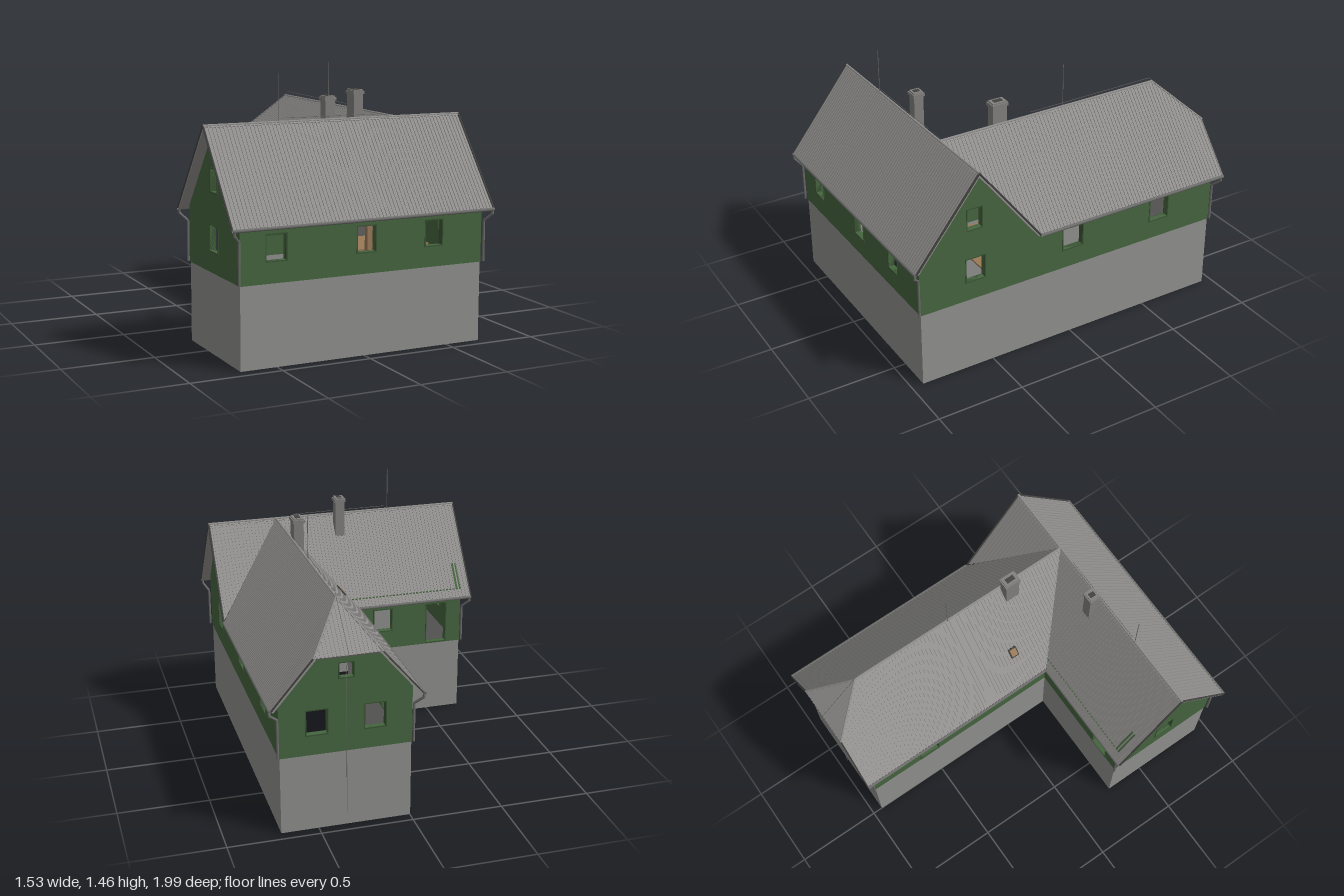
import * as THREE from 'three';
import { mergeGeometries } from 'three/addons/utils/BufferGeometryUtils.js';

const mat = (name, color) => {
  const m = new THREE.MeshStandardMaterial({ color, side: THREE.DoubleSide });
  m.name = name;
  return m;
};
const V = (x, y, z) => new THREE.Vector3(x, y, z);

export function createModel() {
  const house = new THREE.Group();
  house.name = 'house';
  const green = mat('greenBoards', 0x46653f);
  const frameGreen = mat('darkGreenFrames', 0x3a5534);
  const stone = mat('greyFoundation', 0x90908e);
  const roofGrey = mat('greyRoof', 0x92918f);
  const chimneyGrey = mat('chimneyGrey', 0x82817f);
  const metal = mat('gutterMetal', 0x6e6e6d);
  const dark = mat('darkTrim', 0x444442);
  const wood = mat('tanWood', 0x9a7a58);

  const add = (name, geometry, material, parent = house) => {
    const m = new THREE.Mesh(geometry, material);
    m.name = name;
    parent.add(m);
    return m;
  };
  const box = (name, w, h, d, x, y, z, material) => {
    const m = add(name, new THREE.BoxGeometry(w, h, d), material);
    m.position.set(x, y, z);
    return m;
  };
  // round rod through points
  const rod = (name, pts, r, material, sides = 6) => {
    const path = new THREE.CurvePath();
    for (let i = 1; i < pts.length; i++) path.add(new THREE.LineCurve3(pts[i - 1], pts[i]));
    return add(name, mergeGeometries(path.curves.map(c => new THREE.TubeGeometry(c, 1, r, sides))), material);
  };

  // ---- foundation: hollow L-shaped plinth, open above and below
  const outline = [[-0.7, 0.93], [0.7, 0.93], [0.7, -0.94], [0, -0.94], [0, 0.27], [-0.7, 0.27]];
  outline.forEach(([x, z], i) => {
    const [x2, z2] = outline[(i + 1) % 6];
    box('foundationWall', Math.abs(x2 - x) + 0.004, 0.44, Math.abs(z2 - z) + 0.004,
      (x + x2) / 2, 0.22, (z + z2) / 2, stone);
  });

  // ---- walls: outline in (along, up), openings as [from, to, bottom, top]
  const T = 0.03;
  const rect = (Kind, [a, b, c, d], g = 0) => {
    const p = new Kind();
    p.moveTo(a - g, c - g); p.lineTo(b + g, c - g); p.lineTo(b + g, d + g); p.lineTo(a - g, d + g);
    p.closePath();
    return p;
  };
  const wall = (name, pts, openings, alongZ, at) => {
    const g = new THREE.Group();
    g.name = name;
    const s = new THREE.Shape(pts.map(p => new THREE.Vector2(...p)));
    openings.forEach(o => s.holes.push(rect(THREE.Path, o)));
    add(name + 'Boards', new THREE.ExtrudeGeometry(s, { depth: T, bevelEnabled: false }), green, g);
    openings.forEach(o => {
      const f = rect(THREE.Shape, o, 0.006);
      f.holes.push(rect(THREE.Path, o));
      add('openingFrame', new THREE.ExtrudeGeometry(f, { depth: T + 0.006, bevelEnabled: false }), frameGreen, g)
        .position.z = -0.003;
    });
    if (alongZ) { g.rotation.y = -Math.PI / 2; g.position.x = at; } else g.position.z = at;
    house.add(g);
  };
  const B = 0.435, E = 0.775, W = [0.55, 0.685];
  const flat = (a, b) => [[a, B], [b, B], [b, E], [a, E]];
  const gableWindows = [[0.55, 0.66, ...W], [0.565, 0.65, 0.86, 0.98]];
  wall('frontWall', flat(-0.705, 0.705),
    [[-0.56, -0.45, ...W], [-0.045, 0.06, ...W], [0.36, 0.46, ...W]], false, 0.935 - T);
  wall('rightWall', [[-0.945, B], [0.935, B], [0.935, E], [0.605, 1.19], [0.27, E], [-0.945, E]],
    [...gableWindows, [-0.065, 0.06, ...W], [-0.64, -0.52, ...W]], true, 0.705);
  wall('leftGable', [[0.265, B], [0.935, B], [0.935, E], [0.605, 1.19], [0.265, E]],
    gableWindows, true, -0.705 + T);
  wall('courtWallShort', flat(-0.705, 0), [[-0.27, -0.16, ...W], [-0.61, -0.49, 0.445, 0.69]], false, 0.265);
  wall('courtWallLong', flat(-0.945, 0.27),
    [[-0.81, -0.71, ...W], [-0.62, -0.5, 0.445, 0.69], [-0.06, 0.05, ...W]], true, -0.005 + T);
  wall('rearGable', [[-0.005, B], [0.705, B], [0.705, E], [0.493, 1.02], [0.207, 1.02], [-0.005, E]],
    [[0.45, 0.56, ...W], [0.14, 0.25, ...W], [0.31, 0.385, 0.85, 0.93]], false, -0.945);

  // ---- roof: thin convex slabs with seams running up the slope
  const slab = (pts, thick, lift = 0) => {
    const n = new THREE.Vector3().crossVectors(
      pts[1].clone().sub(pts[0]), pts[2].clone().sub(pts[0])).normalize();
    if (n.y < 0) { pts = [...pts].reverse(); n.negate(); }
    const top = pts.map(p => p.clone().addScaledVector(n, lift));
    const low = pts.map(p => p.clone().addScaledVector(n, lift - thick));
    const out = [];
    const tri = (...t) => t.forEach(p => out.push(p.x, p.y, p.z));
    pts.forEach((_, i) => {
      const j = (i + 1) % pts.length;
      if (i > 0 && j > 0) { tri(top[0], top[i], top[j]); tri(low[0], low[j], low[i]); }
      tri(low[i], low[j], top[j]); tri(low[i], top[j], top[i]);
    });
    const g = new THREE.BufferGeometry();
    g.setAttribute('position', new THREE.Float32BufferAttribute(out, 3));
    g.computeVertexNormals();
    return g;
  };
  const roofPanel = (name, pts, axis, step) => {
    const parts = [slab(pts, 0.014)];
    const range = pts.map(p => p[axis]);
    const side = V(0, 0, 0);
    side[axis] = 0.004;
    for (let t = Math.min(...range) + 0.006; t < Math.max(...range); t += step) {
      const hits = [];
      pts.forEach((p, i) => {
        const q = pts[(i + 1) % pts.length];
        if ((p[axis] - t) * (q[axis] - t) < 0)
          hits.push(p.clone().lerp(q, (t - p[axis]) / (q[axis] - p[axis])));
      });
      if (hits.length === 2 && hits[0].distanceTo(hits[1]) > 0.02) {
        const [a, b] = hits;
        parts.push(slab([a.clone().sub(side), a.clone().add(side),
          b.clone().add(side), b.clone().sub(side)], 0.004, 0.004));
      }
    }
    add(name, mergeGeometries(parts), roofGrey);
  };
  const R = 1.205, L = 0.73, H = 0.99;
  const cross = V(0.35, R, 0.605), hipTop = V(0.35, R + 0.008, -0.76);
  roofPanel('frontRoofSlope', [V(-0.76, L, 0.975), V(0.755, L, 0.975), V(0.755, R, 0.605), V(-0.76, R, 0.605)], 'x', 0.021);
  roofPanel('courtRoofSlope', [V(-0.76, R, 0.605), cross, V(-0.05, L, 0.235), V(-0.76, L, 0.235)], 'x', 0.021);
  roofPanel('cornerRoofSlope', [cross, V(0.755, R, 0.605), V(0.755, L, 0.235)], 'x', 0.021);
  roofPanel('wingLeftSlope', [V(-0.05, L, 0.235), cross, hipTop, V(0.17, H, -0.995), V(-0.05, L, -0.995)], 'z', 0.021);
  roofPanel('wingRightSlope', [V(0.75, L, 0.235), cross, hipTop, V(0.53, H, -0.995), V(0.75, L, -0.995)], 'z', 0.021);
  roofPanel('rearHalfHip', [V(0.17, H, -0.995), V(0.53, H, -0.995), hipTop], 'x', 0.021);

  // ridge caps and gable edge boards
  rod('frontRidgeCap', [V(-0.762, R, 0.605), V(0.757, R, 0.605)], 0.007, roofGrey);
  rod('wingRidgeCap', [cross, hipTop], 0.007, roofGrey);
  for (const x of [0.17, 0.53]) rod('hipCap', [hipTop, V(x, H, -0.995)], 0.006, roofGrey);
  for (const x of [-0.76, 0.755])
    rod('gableEdge', [V(x, L, 0.975), V(x, R, 0.605), V(x, L, 0.235)], 0.006, dark);
  for (const [a, b] of [[-0.05, 0.17], [0.75, 0.53]])
    rod('rearGableEdge', [V(a, L, -0.992), V(b, H, -0.992)], 0.005, dark);

  // ---- gutters and downpipes
  const gutter = (a, b) => rod('gutter', [a, b], 0.009, metal, 8);
  gutter(V(-0.76, 0.724, 0.98), V(0.755, 0.724, 0.98));
  gutter(V(-0.76, 0.724, 0.23), V(-0.055, 0.724, 0.23));
  gutter(V(-0.056, 0.724, 0.23), V(-0.056, 0.724, -0.99));
  gutter(V(0.756, 0.724, 0.23), V(0.756, 0.724, -0.99));
  const downpipe = (x0, z0, x1, z1) => rod('downpipe',
    [V(x0, 0.724, z0), V(x0, 0.7, z0), V(x1, 0.66, z1), V(x1, 0.44, z1)], 0.007, metal);
  downpipe(-0.75, 0.98, -0.712, 0.945);
  downpipe(0.745, 0.98, 0.715, 0.945);
  downpipe(-0.75, 0.23, -0.712, 0.258);
  downpipe(-0.056, -0.975, -0.012, -0.95);
  downpipe(0.756, -0.975, 0.712, -0.95);

  // ---- chimneys
  for (const [x, z, w, d] of [[-0.02, 0.542, 0.056, 0.056], [0.31, 0.232, 0.056, 0.086]]) {
    box('chimneyStack', w, 0.32, d, x, 1.15, z, chimneyGrey);
    box('chimneyCap', w + 0.012, 0.018, d + 0.012, x, 1.309, z, chimneyGrey);
    box('chimneyRim', w, 0.01, d, x, 1.321, z, chimneyGrey);
    box('chimneyFlue', w * 0.5, 0.004, d * 0.6, x, 1.327, z, dark);
  }

  // ---- skylight lying on the wing slope
  const tilt = Math.atan2(R - L, 0.4);
  box('skylightFrame', 0.06, 0.018, 0.05, 0.09, 0.9, 0.1, dark).rotation.z = tilt;
  box('skylightPane', 0.046, 0.02, 0.036, 0.089, 0.902, 0.1, wood).rotation.z = tilt;

  // ---- masts and lightning wires
  rod('frontMast', [V(-0.34, R, 0.605), V(-0.34, 1.455, 0.605)], 0.002, metal);
  rod('wingMast', [V(0.345, R, -0.16), V(0.345, 1.455, -0.16)], 0.002, metal);
  rod('frontRidgeWire', [V(-0.32, 1.225, 0.605), V(0.23, 1.222, 0.605)], 0.0015, metal, 4);
  rod('wingRidgeWire', [V(0.35, 1.228, 0.05), V(0.35, 1.238, -0.74), V(0.35, 1.0, -0.997),
    V(0.35, 0.9, -0.955), V(0.35, 0.08, -0.955)], 0.0015, metal, 4);

  // ---- interior floor patch and post
  box('innerFloor', 0.6, 0.01, 0.34, 0.38, 0.45, 0.28, wood);
  box('innerPost', 0.03, 0.3, 0.03, 0.2, 0.6, 0.605, wood);

  return house;
}
